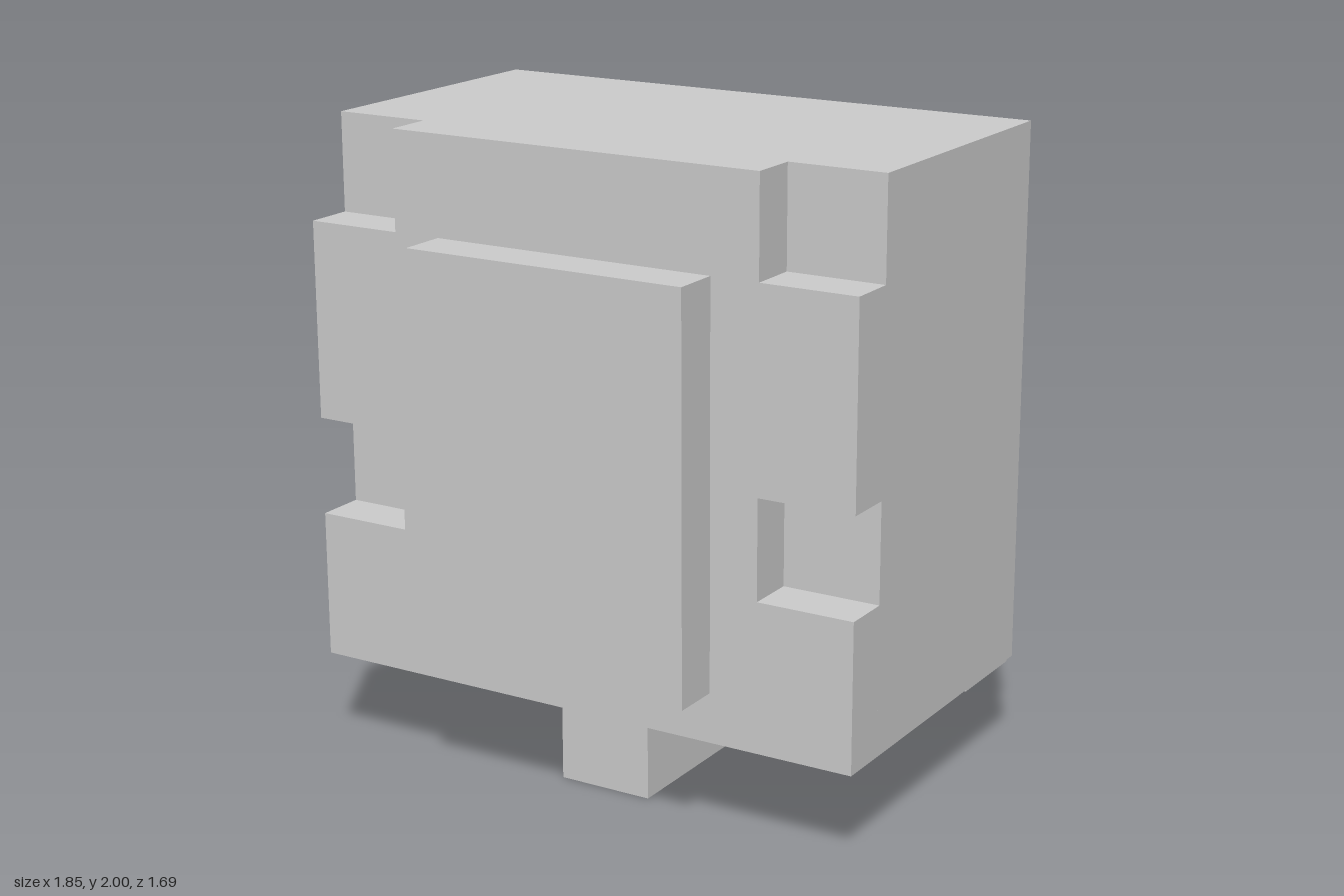
import * as THREE from 'three';

const U = 2 / 13; // the whole design sits on a 13-step grid

export function createModel() {
  const model = new THREE.Group();
  const material = new THREE.MeshStandardMaterial({ color: 0xcccccc, flatShading: true });

  const add = (name, geometry) => {
    const mesh = new THREE.Mesh(geometry.scale(U, U, U), material);
    mesh.name = name;
    model.add(mesh);
  };

  // Box from its min and max corners, in grid steps
  const block = (name, [x0, y0, z0], [x1, y1, z1]) =>
    add(name, new THREE.BoxGeometry(x1 - x0, y1 - y0, z1 - z0)
      .translate((x0 + x1) / 2, (y0 + y1) / 2, (z0 + z1) / 2));

  // Plate from the right half of a left-right symmetric outline, bottom to top
  const outline = (half) => [...half, ...half.map(([x, y]) => [-x, y]).reverse()]
    .map(([x, y]) => new THREE.Vector2(x, y));
  const plate = (name, half, z0, z1, hole) => {
    const shape = new THREE.Shape(outline(half));
    if (hole) shape.holes.push(new THREE.Path(outline(hole)));
    add(name, new THREE.ExtrudeGeometry(shape, { depth: z1 - z0, bevelEnabled: false })
      .translate(0, 0, z0));
  };

  // Main body, with corner and side notches cut in its front layer
  block('body', [-6, 2, -2.5], [6, 13, 3.5]);
  plate('notchedFront',
    [[6, 2], [6, 5], [4, 5], [4, 7], [6, 7], [6, 11], [4, 11], [4, 13]], 3.5, 4.5);
  block('frontPanel', [-3, 3, 4.5], [3, 11, 5.5]);

  // Keel under the body
  block('keel', [-1, 0, -2.5], [1, 2, 3.5]);

  // Back slab with a shallow recess
  block('backSlab', [-5, 1, -3.5], [5, 12, -2.5]);
  plate('recessFrame', [[5, 1], [5, 12]], -4.5, -3.5, [[3, 3], [3, 10]]);

  // Cross-shaped spine bridging the recess, its crosspiece reaching the recess floor
  plate('spine',
    [[2, 1], [2, 5], [3, 5], [3, 8], [2, 8], [2, 12]], -5.5, -4.5);
  block('crosspiece', [-3, 5, -4.5], [3, 8, -3.5]);

  return model;
}
